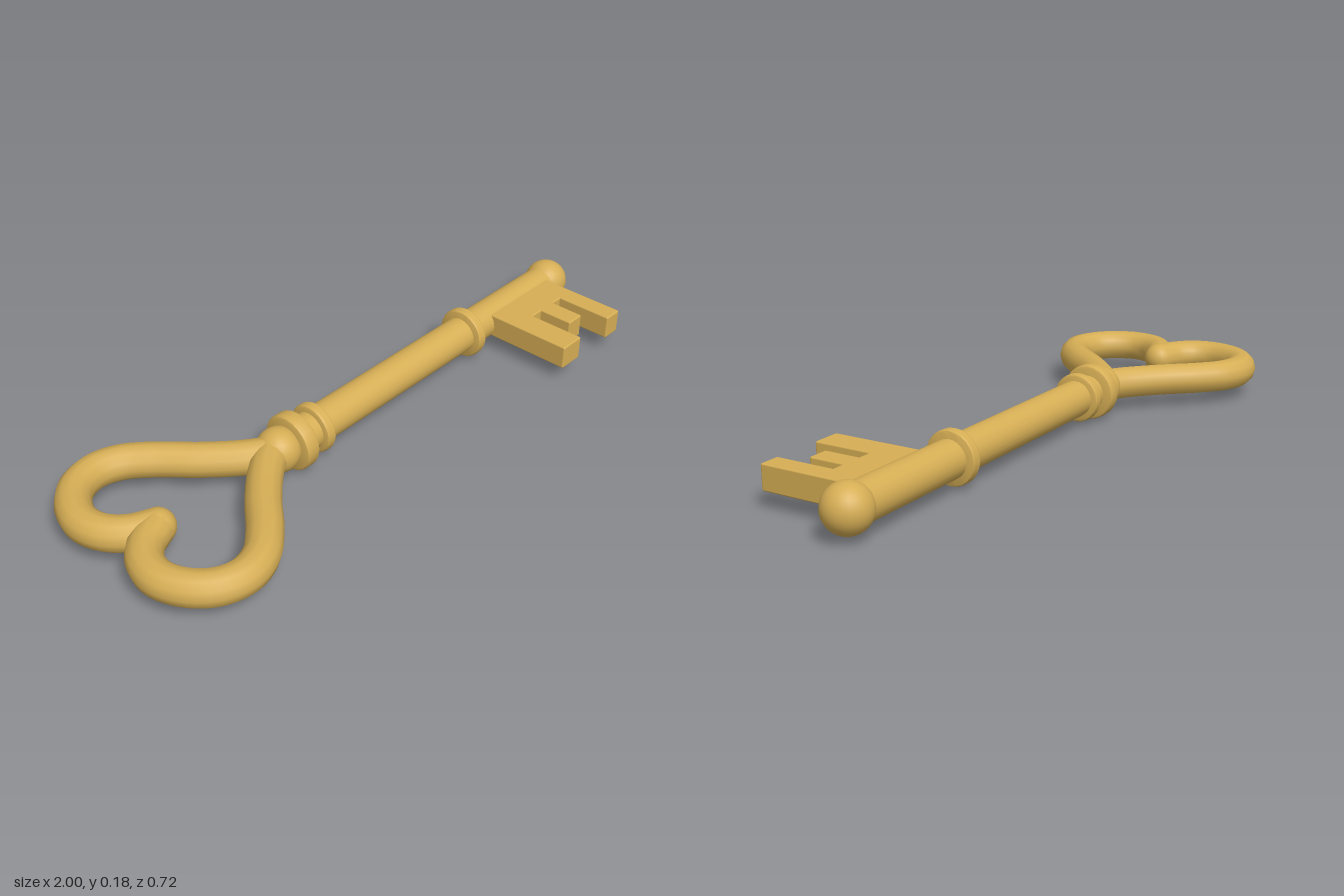
import * as THREE from 'three';
import { toCreasedNormals } from 'three/addons/utils/BufferGeometryUtils.js';
import { RoundedBoxGeometry } from 'three/addons/geometries/RoundedBoxGeometry.js';

export function createModel() {
  const key = new THREE.Group();
  key.name = 'key';
  const brass = new THREE.MeshStandardMaterial({ color: 0xd6ae55 });
  brass.name = 'brass';
  const AXIS_Y = 0.09;

  function add(name, geometry, x, z = 0, y = AXIS_Y) {
    const mesh = new THREE.Mesh(geometry, brass);
    mesh.name = name;
    mesh.position.set(x, y, z);
    key.add(mesh);
    return mesh;
  }

  // Heart-shaped bow: one half path, mirrored across the shaft
  const half = [
    [-0.82, 0], [-0.89, 0.035], [-0.935, 0.09], [-0.948, 0.16], [-0.92, 0.235],
    [-0.865, 0.29], [-0.79, 0.31], [-0.715, 0.288], [-0.64, 0.225],
    [-0.555, 0.13], [-0.47, 0.05], [-0.40, 0],
  ];
  for (const side of [1, -1]) {
    const path = new THREE.CatmullRomCurve3(half.map(([x, z]) => new THREE.Vector3(x, 0, z * side)));
    add(side > 0 ? 'bowFront' : 'bowBack', new THREE.TubeGeometry(path, 56, 0.052, 12), 0);
  }
  add('bowNotch', new THREE.SphereGeometry(0.052, 20, 14), -0.82);

  // Shaft with a ball at each end
  const shaft = new THREE.CylinderGeometry(0.058, 0.058, 1.29, 24).rotateZ(-Math.PI / 2);
  add('shaft', shaft, 0.275);
  add('neckBall', new THREE.SphereGeometry(0.069, 24, 16), -0.37);
  add('tipBall', new THREE.SphereGeometry(0.071, 24, 16), 0.929);

  // Bevelled collars around the shaft
  function collar(name, x, radius, width) {
    const h = width / 2, b = 0.009;
    const profile = [
      [0, -h], [radius - b, -h], [radius - b * 0.3, -h + b * 0.3], [radius, -h + b],
      [radius, h - b], [radius - b * 0.3, h - b * 0.3], [radius - b, h], [0, h],
    ].map(([r, y]) => new THREE.Vector2(r, y));
    const lathe = new THREE.LatheGeometry(profile, 24).rotateZ(-Math.PI / 2);
    add(name, toCreasedNormals(lathe, 0.6), x);
  }
  collar('largeCollar', -0.312, 0.089, 0.05);
  collar('smallCollar', -0.225, 0.078, 0.036);
  collar('bitCollar', 0.475, 0.082, 0.038);

  // Bit: a plate and three teeth, given by x and z ranges
  function bitPart(name, x0, x1, z0, z1) {
    const box = new RoundedBoxGeometry(x1 - x0, 0.078, z1 - z0, 2, 0.005);
    add(name, box, (x0 + x1) / 2, (z0 + z1) / 2, 0.092);
  }
  bitPart('bitPlate', 0.565, 0.873, 0.01, 0.145);
  bitPart('longTooth', 0.565, 0.655, 0.13, 0.335);
  bitPart('shortTooth', 0.70, 0.766, 0.13, 0.26);
  bitPart('endTooth', 0.807, 0.873, 0.13, 0.335);

  return key;
}
